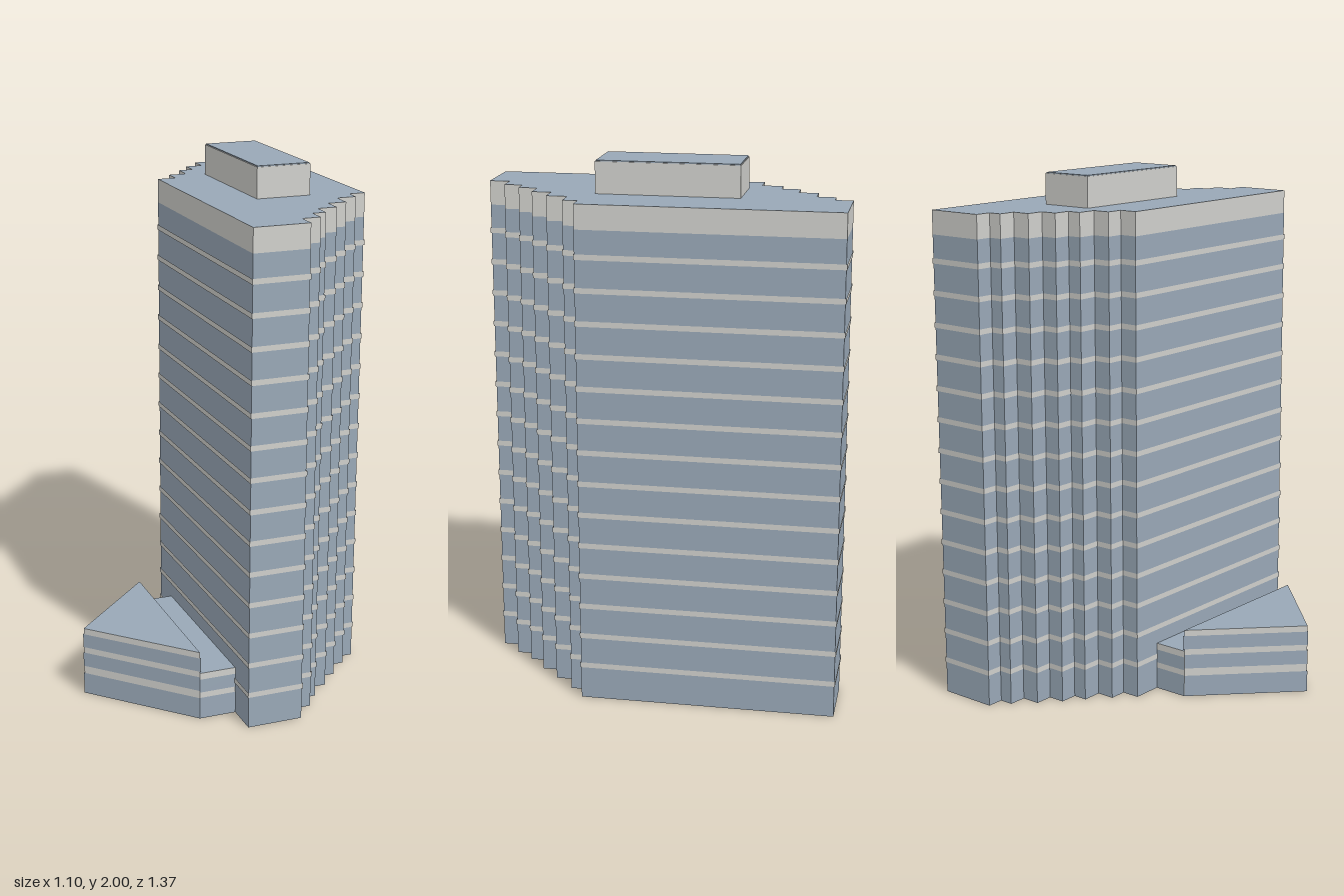
import * as THREE from 'three';

const glass = new THREE.MeshStandardMaterial({ color: 0x99a8b7, side: THREE.DoubleSide });
glass.name = 'blue grey glass';
const concrete = new THREE.MeshStandardMaterial({ color: 0xd0d0cc, side: THREE.DoubleSide });
concrete.name = 'pale concrete';

// Push an [x, z] path outward by d, mitring the corners
function offset(path, d, closed) {
  const n = path.length;
  const normal = (i) => {
    if (!closed && (i < 0 || i >= n - 1)) return null;
    const a = path[(i + n) % n], b = path[(i + 1) % n];
    const v = new THREE.Vector2(b[1] - a[1], a[0] - b[0]);
    return v.normalize();
  };
  return path.map(([x, z], i) => {
    const p = normal(i - 1) || normal(i), q = normal(i) || p;
    const k = d / (1 + p.dot(q));
    return [x + (p.x + q.x) * k, z + (p.y + q.y) * k];
  });
}

// Upright wall following an [x, z] path between two heights
function wall(name, path, y0, y1, material, { closed = true, out = 0 } = {}) {
  const pts = out ? offset(path, out, closed) : path;
  const pos = [];
  const count = closed ? pts.length : pts.length - 1;
  for (let i = 0; i < count; i++) {
    const [ax, az] = pts[i], [bx, bz] = pts[(i + 1) % pts.length];
    pos.push(bx, y0, bz, ax, y0, az, ax, y1, az);
    pos.push(bx, y0, bz, ax, y1, az, bx, y1, bz);
  }
  const g = new THREE.BufferGeometry();
  g.setAttribute('position', new THREE.Float32BufferAttribute(pos, 3));
  g.computeVertexNormals();
  const m = new THREE.Mesh(g, material);
  m.name = name;
  return m;
}

// Flat roof filling an [x, z] outline
function roof(name, path, y) {
  const shape = new THREE.Shape(path.map(([x, z]) => new THREE.Vector2(x, -z)));
  const m = new THREE.Mesh(new THREE.ShapeGeometry(shape).rotateX(-Math.PI / 2), glass);
  m.position.y = y;
  m.name = name;
  return m;
}

function group(name, ...parts) {
  const g = new THREE.Group();
  g.name = name;
  g.add(...parts);
  return g;
}

// Sawtooth run of right-angled steps: alternate x and z moves through the given corners
function steps(corners) {
  const out = [];
  corners.forEach(([x, z], i) => {
    if (i) out.push([x, corners[i - 1][1]]);
    out.push([x, z]);
  });
  return out;
}

export function createModel() {
  const model = new THREE.Group();
  model.name = 'officeTower';

  // Tower: long side walls joined by stepped corners
  const outline = [
    [0.54, -0.685],
    ...steps([[0.548, 0.265], [0.485, 0.32], [0.41, 0.397], [0.34, 0.468],
      [0.266, 0.537], [0.215, 0.605], [0.145, 0.68], [-0.068, 0.68]]).slice(0, -1),
    ...steps([[-0.075, -0.262], [-0.005, -0.33], [0.065, -0.408], [0.12, -0.478],
      [0.185, -0.55], [0.257, -0.62], [0.31, -0.685]]),
  ];
  const tower = group('tower',
    wall('towerGlass', outline, 0, 1.79, glass),
    wall('parapet', outline, 1.79, 1.88, concrete),
    roof('towerRoof', outline, 1.88));
  for (let i = 0; i < 14; i++) {
    const y = 0.133 + i * 0.12;
    tower.add(wall('floorBand', outline, y - 0.01, y + 0.01, concrete, { out: 0.003 }));
  }
  model.add(tower);

  // Rooftop plant room with inset roof plate
  const plant = new THREE.Mesh(new THREE.BoxGeometry(0.21, 0.116, 0.525), concrete);
  plant.position.set(0.235, 1.938, -0.028);
  plant.name = 'plantRoomWalls';
  const cap = new THREE.Mesh(new THREE.BoxGeometry(0.204, 0.004, 0.519), glass);
  cap.position.set(0.235, 1.998, -0.028);
  cap.name = 'plantRoomRoof';
  model.add(group('plantRoom', plant, cap));

  // Low link between the tower and the wedge
  const link = group('link', roof('linkRoof',
    [[-0.07, 0.55], [-0.21, 0.55], [-0.21, -0.14], [-0.074, -0.14]], 0.185));
  const linkSides = [[[-0.069, 0.55], [-0.21, 0.55]], [[-0.21, -0.14], [-0.074, -0.14]]];
  for (const side of linkSides) {
    link.add(wall('linkWall', side, 0, 0.185, concrete, { closed: false }));
    for (const [y0, y1] of [[0, 0.085], [0.107, 0.16]]) {
      link.add(wall('linkWindows', side, y0, y1, glass, { closed: false, out: 0.002 }));
    }
  }
  model.add(link);

  // Triangular wedge
  const triangle = [[-0.21, 0.55], [-0.55, 0.2], [-0.21, -0.14]];
  const wedge = group('wedge',
    wall('wedgeWalls', triangle, 0, 0.27, concrete),
    roof('wedgeRoof', triangle, 0.27));
  for (const [y0, y1] of [[0, 0.084], [0.114, 0.17], [0.193, 0.247]]) {
    wedge.add(wall('wedgeWindows', triangle, y0, y1, glass, { closed: y0 > 0.185, out: 0.002 }));
  }
  model.add(wedge);

  return model;
}
